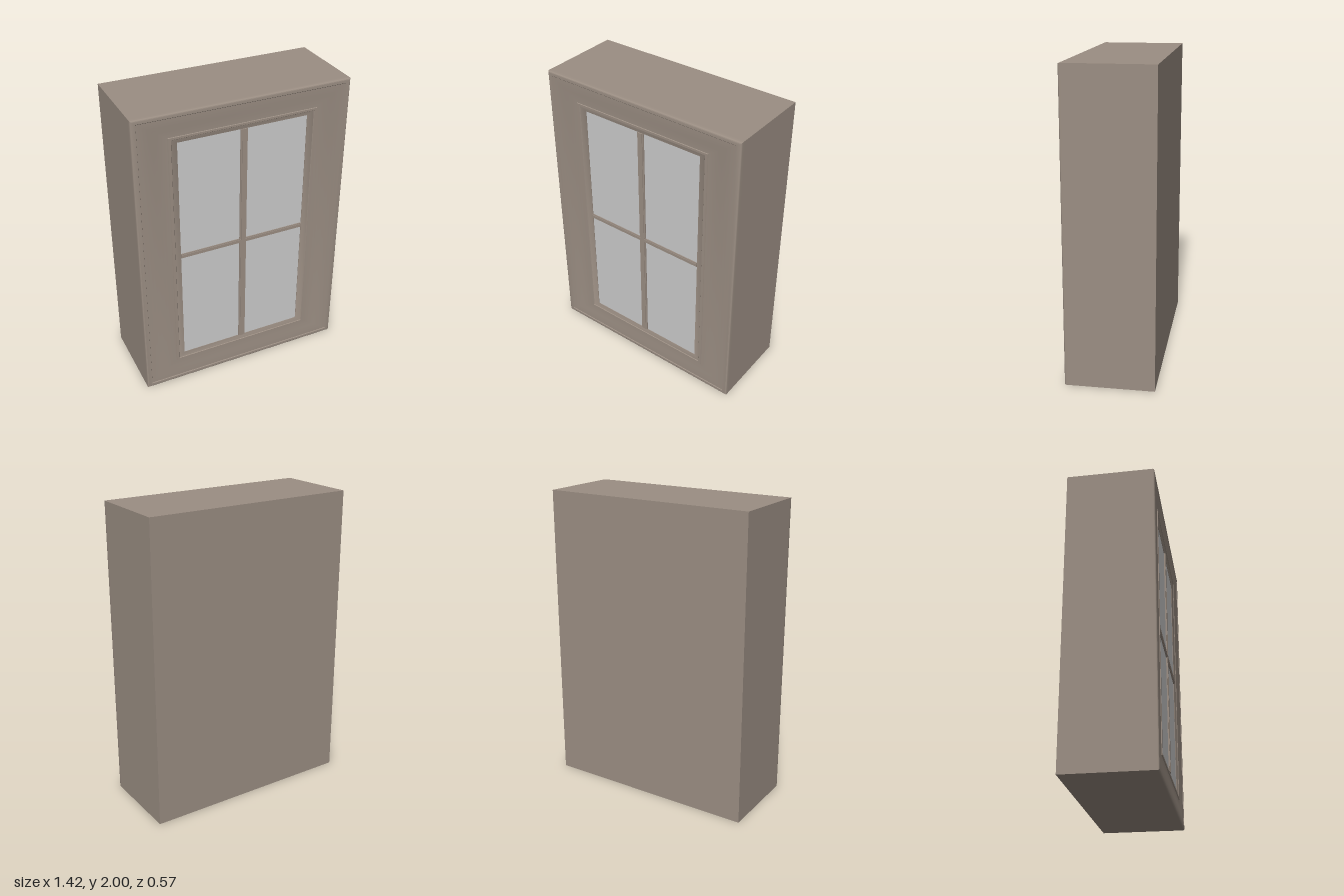
import * as THREE from 'three';
import { toCreasedNormals } from 'three/addons/utils/BufferGeometryUtils.js';

const wood = new THREE.MeshStandardMaterial({ color: 0x9b8e83 });
const glass = new THREE.MeshStandardMaterial({ color: 0xcccccc });

const HALF_W = 0.712, HALF_H = 1, BACK = -0.285, FRONT = 0.285, BODY_FRONT = 0.255;

function addMesh(parent, name, geometry, material, x = 0, y = 0, z = 0) {
  const mesh = new THREE.Mesh(geometry, material);
  mesh.name = name;
  mesh.position.set(x, y, z);
  parent.add(mesh);
  return mesh;
}

// Mitred moulding: joins nested rectangles given as [insetX, insetY, z]
function mouldingGeometry(profile) {
  const corners = [[-1, -1], [1, -1], [1, 1], [-1, 1]];
  const positions = [], index = [];
  for (const [ix, iy, z] of profile)
    for (const [sx, sy] of corners) positions.push(sx * (HALF_W - ix), sy * (HALF_H - iy), z);
  for (let r = 0; r < profile.length - 1; r++)
    for (let c = 0; c < 4; c++) {
      const a = r * 4 + c, b = r * 4 + (c + 1) % 4;
      index.push(a, b, b + 4, a, b + 4, a + 4);
    }
  const geometry = new THREE.BufferGeometry();
  geometry.setAttribute('position', new THREE.Float32BufferAttribute(positions, 3));
  geometry.setIndex(index);
  return toCreasedNormals(geometry, 0.5);
}

// Glazing bar with chamfered front edges, running along y
function barGeometry(width, length, depth) {
  const w = width / 2, c = width * 0.2, d = 0.004;
  const shape = new THREE.Shape([[-w, 0], [w, 0], [w, depth - d], [w - c, depth], [c - w, depth], [-w, depth - d]]
    .map(([x, y]) => new THREE.Vector2(x, y)));
  const geometry = new THREE.ExtrudeGeometry(shape, { depth: length, bevelEnabled: false });
  geometry.translate(0, 0, -length / 2);
  return geometry.rotateX(Math.PI / 2).scale(1, 1, -1).rotateY(Math.PI).scale(-1, 1, -1).rotateY(Math.PI);
}

export function createModel() {
  const cabinet = new THREE.Group();
  cabinet.name = 'wallCabinet';

  // Closed box behind the door
  addMesh(cabinet, 'carcass', new THREE.BoxGeometry(HALF_W * 2, HALF_H * 2, BODY_FRONT - BACK),
    wood, 0, HALF_H, (BODY_FRONT + BACK) / 2);

  const door = new THREE.Group();
  door.name = 'door';
  door.position.y = HALF_H;
  cabinet.add(door);

  // Frame profile: rounded rim, shallow step, dished rail, inner steps and glazing bevel
  const profile = [[0, 0, BODY_FRONT], [0, 0, 0.275]];
  for (let i = 1; i <= 4; i++) {
    const t = i / 4 * Math.PI / 2, inset = 0.01 * (1 - Math.cos(t));
    profile.push([inset, inset, 0.275 + 0.01 * Math.sin(t)]);
  }
  profile.push([0.032, 0.026, FRONT], [0.034, 0.03, 0.281]);
  for (let i = 1; i <= 8; i++) {
    const t = i / 8;
    profile.push([0.034 + 0.186 * t, 0.03 + 0.125 * t, 0.281 - 0.009 * (1 - Math.cos(Math.PI * t)) / 2]);
  }
  profile.push([0.222, 0.157, 0.277], [0.24, 0.17, 0.277], [0.243, 0.173, 0.273], [0.282, 0.2, 0.264], [0.282, 0.2, BODY_FRONT]);
  addMesh(door, 'doorFrame', mouldingGeometry(profile), wood);

  // Glass and the crossed glazing bars
  addMesh(door, 'glassPane', new THREE.BoxGeometry(0.87, 1.61, 0.006), glass, 0, 0, 0.258);
  const addBar = (name, width, length, turn) => {
    const bar = addMesh(door, name, new THREE.BoxGeometry(width, length, 0.012), wood, 0, 0, 0.262);
    bar.rotation.z = turn;
    const bead = addMesh(door, name + 'Bead', new THREE.BoxGeometry(width * 0.6, length, 0.004), wood, 0, 0, 0.27);
    bead.rotation.z = turn;
  };
  addBar('verticalGlazingBar', 0.046, 1.6, 0);
  addBar('horizontalGlazingBar', 0.03, 0.86, Math.PI / 2);

  return cabinet;
}
